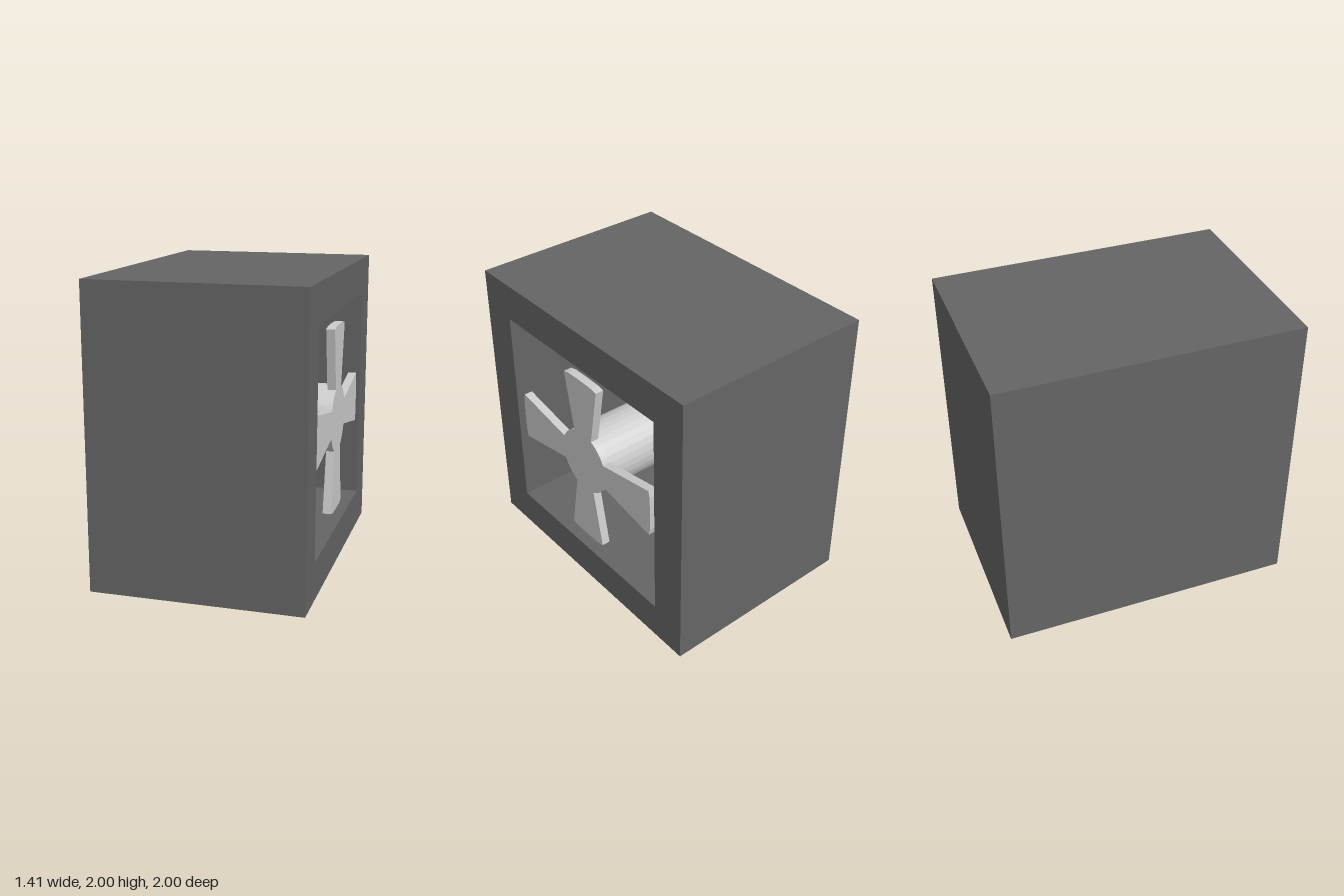
import * as THREE from 'three';

const darkGrey = new THREE.MeshStandardMaterial({ color: 0x656565, flatShading: true });
const lightGrey = new THREE.MeshStandardMaterial({ color: 0xbfbfbf, flatShading: true });
const HALF_DEPTH = 0.704, INNER_BACK = -0.45;
const ROTOR_BACK = 0.63, ROTOR_FRONT = 0.688, AXIS_Y = 1.002;

function addMesh(group, name, geometry, material) {
  const mesh = new THREE.Mesh(geometry, material);
  mesh.name = name;
  group.add(mesh);
  return mesh;
}

// Extrudes a side-on outline (shape x = -z, shape y = y) between two x positions
function extrudeAlongX(shape, x0, x1) {
  return new THREE.ExtrudeGeometry(shape, { depth: x1 - x0, bevelEnabled: false, curveSegments: 8 })
    .rotateY(Math.PI / 2)
    .translate(x0, 0, 0);
}

function rectangle(PathType, halfWidth, bottom, top) {
  return new PathType([[-1, bottom], [1, bottom], [1, top], [-1, top]]
    .map(([s, y]) => new THREE.Vector2(s * halfWidth, y)));
}

// Four flared blades with blunt tips, joined by arcs of the round hub
function fanShape() {
  const shape = new THREE.Shape();
  const hubRadius = Math.hypot(0.21, 0.09), hubAngle = Math.atan2(0.09, 0.21);
  for (let i = 0; i < 4; i++) {
    const angle = i * Math.PI / 2, c = Math.cos(angle), s = Math.sin(angle);
    const [length, half] = i % 2 ? [0.639, 0.167] : [0.684, 0.177];
    const at = (r, t) => [r * c - t * s, r * s + t * c];
    if (i === 0) shape.moveTo(...at(0.21, -0.09));
    shape.lineTo(...at(length - 0.014, -half));
    shape.lineTo(...at(length - 0.003, -half * 0.72));
    shape.lineTo(...at(length, 0));
    shape.lineTo(...at(length - 0.003, half * 0.72));
    shape.lineTo(...at(length - 0.014, half));
    shape.lineTo(...at(0.21, 0.09));
    shape.absarc(0, 0, hubRadius, angle + hubAngle, angle + Math.PI / 2 - hubAngle, false);
  }
  return shape;
}

export function createModel() {
  const model = new THREE.Group();
  model.name = 'boxFan';

  // Casing: square tube open on one side, closed by a rear panel
  const casing = rectangle(THREE.Shape, 1, 0, 2);
  casing.holes.push(rectangle(THREE.Path, 0.745, 0.257, 1.747));
  addMesh(model, 'casing', extrudeAlongX(casing, INNER_BACK, HALF_DEPTH), darkGrey);
  const panel = INNER_BACK + HALF_DEPTH;
  addMesh(model, 'rearPanel', new THREE.BoxGeometry(panel, 2, 2), darkGrey)
    .position.set(INNER_BACK - panel / 2, 1, 0);

  // Fan rotor, nearly flush with the opening
  addMesh(model, 'rotor', extrudeAlongX(fanShape(), ROTOR_BACK, ROTOR_FRONT), lightGrey)
    .position.y = AXIS_Y;

  // Motor shaft from the rear panel to the rotor
  const shaftLength = ROTOR_BACK - INNER_BACK;
  const shaft = new THREE.CylinderGeometry(0.228, 0.228, shaftLength, 32).rotateZ(Math.PI / 2);
  addMesh(model, 'shaft', shaft, lightGrey)
    .position.set(INNER_BACK + shaftLength / 2, AXIS_Y, 0);

  return model;
}
